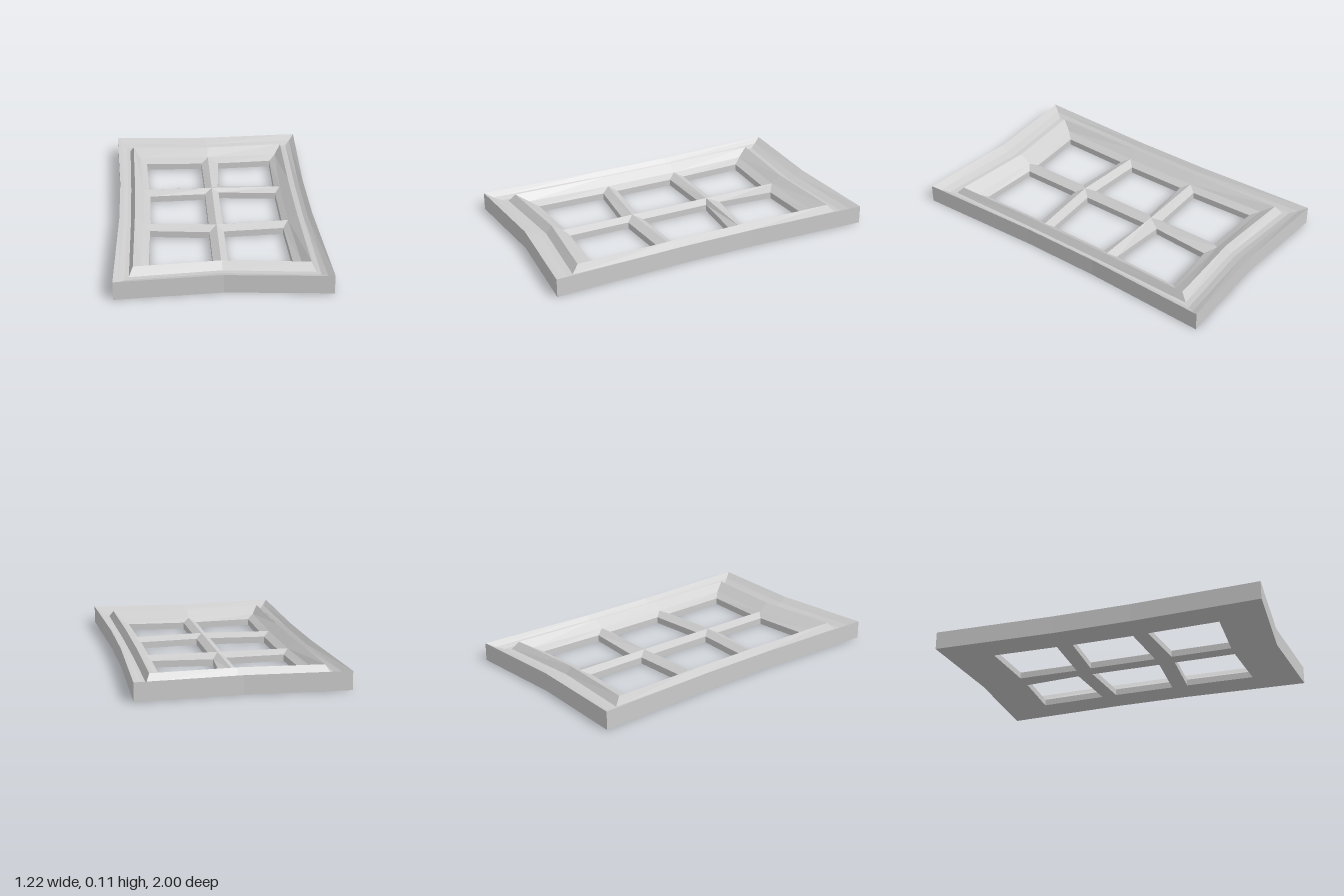
import * as THREE from 'three';

const material = new THREE.MeshStandardMaterial({ color: 0xcccccc, flatShading: true });

// Join successive closed loops of [x, y, z] points with flat facets.
function loft(loops, out = []) {
  for (let k = 0; k < loops.length - 1; k++) {
    const a = loops[k], b = loops[k + 1], n = a.length;
    for (let i = 0; i < n; i++) {
      const j = (i + 1) % n;
      out.push(...a[i], ...a[j], ...b[j], ...a[i], ...b[j], ...b[i]);
    }
  }
  return out;
}

function toMesh(positions, name) {
  const g = new THREE.BufferGeometry();
  g.setAttribute('position', new THREE.Float32BufferAttribute(positions, 3));
  g.computeVertexNormals();
  const mesh = new THREE.Mesh(g, material);
  mesh.name = name;
  return mesh;
}

// One bowed frame outline: corners flare out, sides and ends pinch in.
function ring([cx, cz, backZ, frontZ, sideX, y]) {
  return [
    [-cx, y, cz], [0, y, frontZ], [cx, y, cz], [sideX, y, 0.225], [sideX, y, -0.25],
    [cx, y, -cz], [0, y, -backZ], [-cx, y, -cz], [-sideX, y, -0.25], [-sideX, y, 0.225],
  ];
}

export function createModel() {
  const group = new THREE.Group();
  group.name = 'windowFrame';

  // Moulding: outer wall, hollow cove, raised lip, slope down to the glazing ridge
  // [cornerX, cornerZ, backMidZ, frontMidZ, sideX, height]
  const profile = [
    [0.61, 1.0, 0.97, 0.955, 0.583, 0],
    [0.61, 1.0, 0.97, 0.955, 0.583, 0.11],
    [0.578, 0.952, 0.915, 0.905, 0.558, 0.084],
    [0.547, 0.908, 0.868, 0.858, 0.535, 0.068],
    [0.523, 0.87, 0.833, 0.823, 0.515, 0.066],
    [0.50, 0.83, 0.80, 0.786, 0.49, 0.11],
    [0.457, 0.757, 0.738, 0.717, 0.437, 0.065],
  ];
  group.add(toMesh(loft(profile.map(ring)), 'outerMoulding'));

  // Ridge points: four rows from back to front, three columns from -x to +x
  const ridgeY = 0.065, edgeY = 0.04;
  const ridge = [
    [[-0.457, -0.757], [0, -0.738], [0.457, -0.757]],
    [[-0.437, -0.25], [0, -0.255], [0.437, -0.25]],
    [[-0.437, 0.225], [0, 0.258], [0.437, 0.225]],
    [[-0.457, 0.757], [0, 0.717], [0.457, 0.757]],
  ];
  // Pane openings, each from its front left corner counterclockwise from above
  const panes = [
    [[[-0.40, -0.30], [-0.042, -0.31], [-0.045, -0.69], [-0.412, -0.705]],
      [[0.043, -0.33], [0.405, -0.30], [0.415, -0.71], [0.068, -0.69]]],
    [[[-0.395, 0.18], [-0.045, 0.205], [-0.045, -0.215], [-0.395, -0.20]],
      [[0.042, 0.205], [0.403, 0.18], [0.403, -0.205], [0.042, -0.235]]],
    [[[-0.412, 0.708], [-0.045, 0.685], [-0.045, 0.31], [-0.40, 0.275]],
      [[0.042, 0.685], [0.412, 0.708], [0.403, 0.28], [0.042, 0.305]]],
  ];
  const lift = (points, y) => points.map(([x, z]) => [x, y, z]);

  // Glazing bars: bevels from the ridges to each opening, then its walls
  const bars = [];
  panes.forEach((row, r) => row.forEach((pane, c) => {
    const cell = [ridge[r + 1][c], ridge[r + 1][c + 1], ridge[r][c + 1], ridge[r][c]];
    loft([lift(cell, ridgeY), lift(pane, edgeY), lift(pane, 0)], bars);
  }));
  group.add(toMesh(bars, 'glazingBars'));

  // Flat underside with the six openings
  const vec = ([x, z]) => new THREE.Vector2(x, z);
  const shape = new THREE.Shape(ring(profile[0]).map(([x, , z]) => new THREE.Vector2(x, z)));
  for (const pane of panes.flat()) shape.holes.push(new THREE.Path(pane.map(vec)));
  const underside = new THREE.Mesh(new THREE.ShapeGeometry(shape).rotateX(Math.PI / 2), material);
  underside.name = 'underside';
  group.add(underside);

  return group;
}
